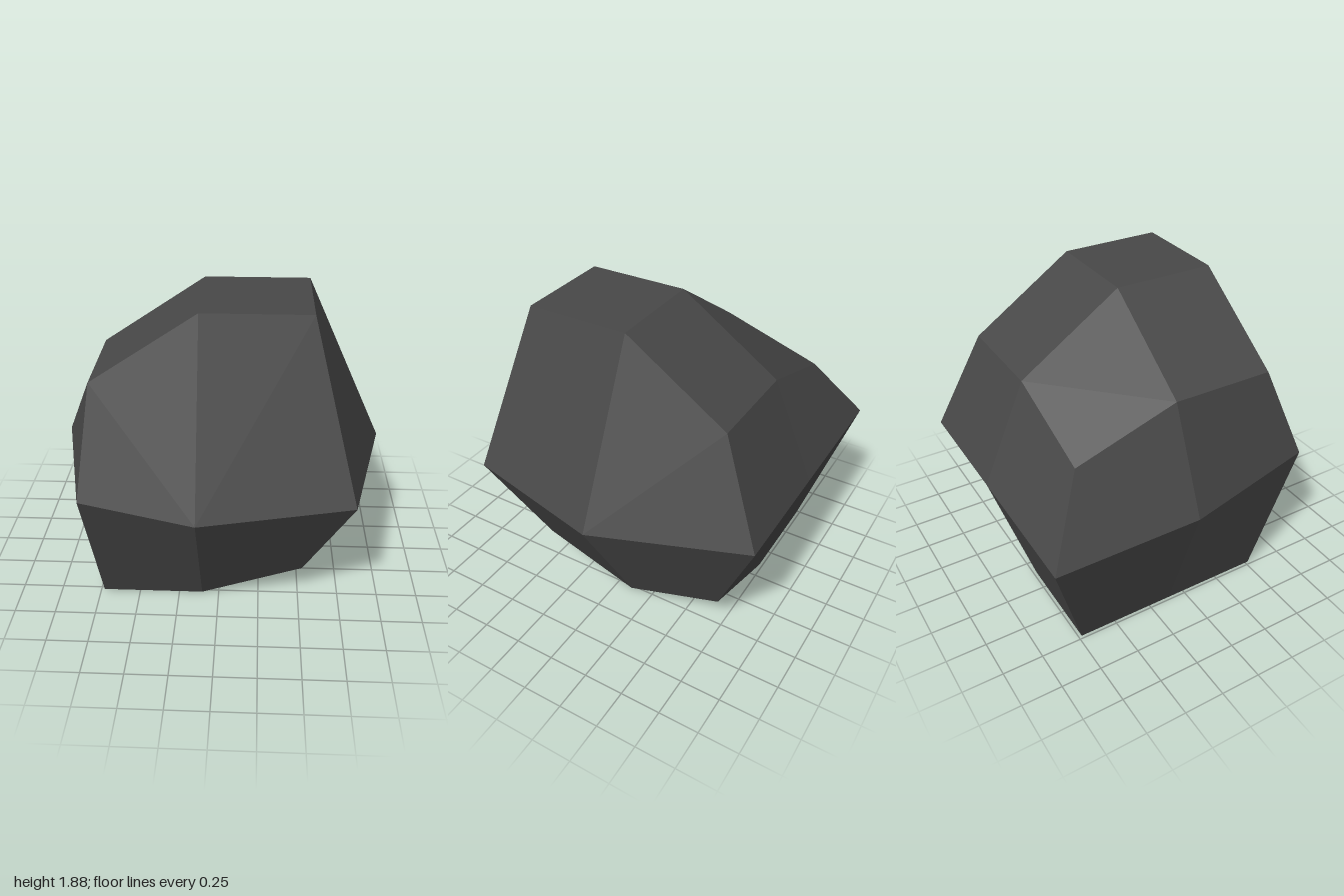
import * as THREE from 'three';

// Rows run back to front (z), columns run from -x to +x
const STEPS = [-0.73, -0.105, 0.52];
const gridLayer = (heights) =>
  heights.map((row, r) => row.map((y, c) => new THREE.Vector3(STEPS[c], y, STEPS[r])));

// Rim of a 3x3 layer, counter-clockwise seen from above
const RIM = [[0, 0], [1, 0], [2, 0], [2, 1], [2, 2], [1, 2], [0, 2], [0, 1]];
const rimOf = (layer) => RIM.map(([r, c]) => layer[r][c]);

function buildRockGeometry() {
  const top = gridLayer([[1.255, 1.46, 1.46], [1.46, 1.88, 1.88], [1.46, 1.88, 1.88]]);
  const bottom = gridLayer([[0, 0, 0.21], [0, 0, 0], [0, 0, 0.21]]);
  // Widest girdle around the middle
  const girdle = [
    [-1, -1], [-1, -0.105], [-0.79, 0.79], [-0.105, 1],
    [0.79, 0.79], [1, -0.105], [0.66, -1], [-0.105, -1],
  ].map(([x, z]) => new THREE.Vector3(x, 0.835, z));

  const positions = [];
  const normals = [];
  // One flat facet: both triangles share the facet normal
  const quad = (a, b, c, d) => {
    const n = c.clone().sub(a).cross(d.clone().sub(b)).normalize();
    const corners = a.distanceTo(c) <= b.distanceTo(d) ? [a, b, c, a, c, d] : [a, b, d, b, c, d];
    for (const p of corners) {
      positions.push(p.x, p.y, p.z);
      normals.push(n.x, n.y, n.z);
    }
  };

  // Top and underside
  for (let r = 0; r < 2; r++) {
    for (let c = 0; c < 2; c++) {
      quad(top[r][c], top[r + 1][c], top[r + 1][c + 1], top[r][c + 1]);
      quad(bottom[r][c], bottom[r][c + 1], bottom[r + 1][c + 1], bottom[r + 1][c]);
    }
  }
  // Two bands of side facets
  for (const [lower, upper] of [[rimOf(bottom), girdle], [girdle, rimOf(top)]]) {
    for (let i = 0; i < 8; i++) {
      const j = (i + 1) % 8;
      quad(lower[i], lower[j], upper[j], upper[i]);
    }
  }

  const geometry = new THREE.BufferGeometry();
  geometry.setAttribute('position', new THREE.Float32BufferAttribute(positions, 3));
  geometry.setAttribute('normal', new THREE.Float32BufferAttribute(normals, 3));
  return geometry;
}

export function createModel() {
  const stone = new THREE.MeshStandardMaterial({ color: 0x484848 });
  stone.name = 'darkGreyStone';

  const rock = new THREE.Mesh(buildRockGeometry(), stone);
  rock.name = 'rock';

  const group = new THREE.Group();
  group.name = 'boulder';
  group.add(rock);
  return group;
}
